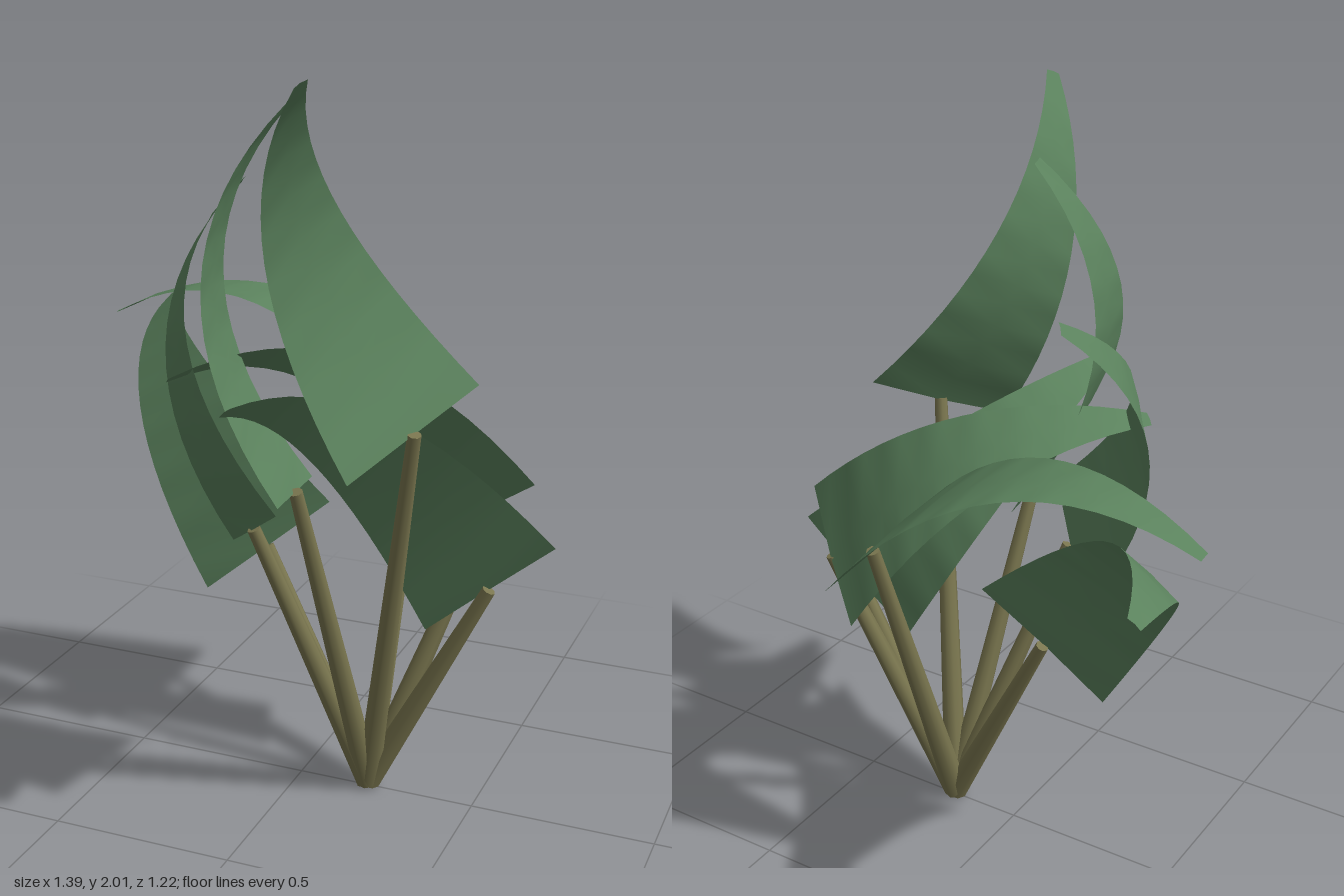
import * as THREE from 'three';

const leafGreen = new THREE.MeshStandardMaterial({ color: 0x5b825d, side: THREE.DoubleSide });
leafGreen.name = 'leafGreen';
const stemOlive = new THREE.MeshStandardMaterial({ color: 0x7a764f });
stemOlive.name = 'stemOlive';

// Shared leaf frame: every blade starts along GROW and is turned about it
const GROW = new THREE.Vector3(-0.64, 0.768, 0);
const SIDE = new THREE.Vector3(0.768, 0.64, 0);
const FRONT = new THREE.Vector3(0, 0, 1);
const ROOT = new THREE.Vector3(0.2, 0, 0);
const SPREAD = 0.327;

// One blade: straight taper, bent along a curve, with a slightly rippled midrib.
// x = across, y = along, z = bend direction
function makeLeafGeometry() {
  const rows = 16;
  const geo = new THREE.PlaneGeometry(1, 1, 2, rows);
  const curve = new THREE.QuadraticBezierCurve(
    new THREE.Vector2(0, 0), new THREE.Vector2(0.675, 0), new THREE.Vector2(0.765, 0.555));
  const pos = geo.attributes.position;
  for (let i = 0; i < pos.count; i++) {
    const t = pos.getY(i) + 0.5;
    const p = curve.getPoint(t);
    const dir = curve.getTangent(t);
    const halfWidth = THREE.MathUtils.lerp(0.223, 0.02, t);
    const onRib = Math.abs(pos.getX(i)) < 0.01;
    const ripple = onRib ? (Math.round(t * rows) % 2 ? 0.007 : -0.007) * (1 - 0.6 * t) : 0;
    pos.setXYZ(i, pos.getX(i) * 2 * halfWidth, p.x - dir.y * ripple, p.y + dir.x * ripple);
  }
  geo.computeVertexNormals();
  return geo;
}

// Tapered round stalk between two points
function makeStem(from, to) {
  const dir = to.clone().sub(from);
  const mesh = new THREE.Mesh(new THREE.CylinderGeometry(0.018, 0.034, dir.length(), 8), stemOlive);
  mesh.position.copy(from).addScaledVector(dir, 0.5);
  mesh.quaternion.setFromUnitVectors(new THREE.Vector3(0, 1, 0), dir.normalize());
  mesh.name = 'stem';
  return mesh;
}

export function createModel() {
  const plant = new THREE.Group();
  plant.name = 'plant';
  const leafGeo = makeLeafGeometry();

  // [turn in degrees, stem height]
  const stalks = [
    [0, 0.635], [52, 1.125], [105, 0.957], [138, 0.8],
    [189, 0.64], [274, 0.96], [328, 0.8],
  ];

  for (const [turn, height] of stalks) {
    const a = THREE.MathUtils.degToRad(turn);
    const top = new THREE.Vector3(ROOT.x + SPREAD * Math.cos(a), height, SPREAD * Math.sin(a));
    const stalk = new THREE.Group();
    stalk.name = 'stalk';
    stalk.add(makeStem(new THREE.Vector3(ROOT.x, 0.008, 0), top));

    // Blade axes turned around the growing direction
    const across = SIDE.clone().multiplyScalar(Math.cos(a)).addScaledVector(FRONT, -Math.sin(a));
    const bend = SIDE.clone().multiplyScalar(Math.sin(a)).addScaledVector(FRONT, Math.cos(a));
    const leaf = new THREE.Mesh(leafGeo, leafGreen);
    leaf.name = 'leaf';
    leaf.quaternion.setFromRotationMatrix(new THREE.Matrix4().makeBasis(across, GROW, bend));
    leaf.position.copy(top);
    stalk.add(leaf);
    plant.add(stalk);
  }
  return plant;
}
